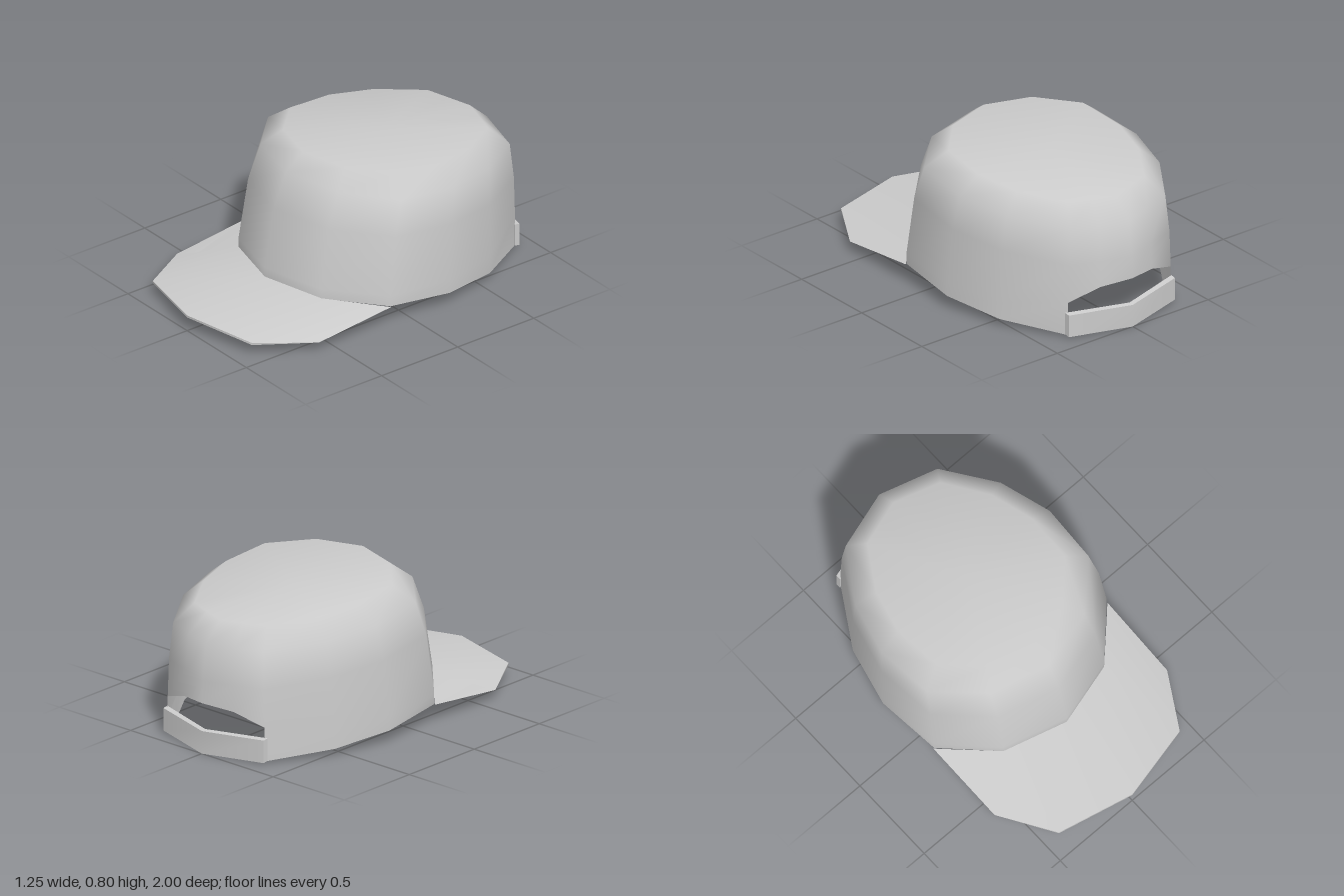
import * as THREE from 'three';
import { mergeVertices, toCreasedNormals } from 'three/addons/utils/BufferGeometryUtils.js';

const material = new THREE.MeshStandardMaterial({ color: 0xcccccc, side: THREE.DoubleSide });

// Skin a grid of points: rows of [x, y, z]; skip(r, c) leaves a hole.
function skin(name, rows, { closed = false, skip = () => false, crease = 0 } = {}) {
  const n = rows[0].length;
  const index = [];
  const same = (p, q) => p.every((v, i) => Math.abs(v - q[i]) < 1e-6);
  const tri = (...ids) => {
    const [p, q, s] = ids.map((i) => rows[Math.floor(i / n)][i % n]);
    if (!same(p, q) && !same(q, s) && !same(p, s)) index.push(...ids);
  };
  for (let r = 0; r < rows.length - 1; r++) {
    for (let c = 0; c < (closed ? n : n - 1); c++) {
      if (skip(r, c)) continue;
      const d = (c + 1) % n;
      tri(r * n + c, r * n + d, (r + 1) * n + d);
      tri(r * n + c, (r + 1) * n + d, (r + 1) * n + c);
    }
  }
  let geo = new THREE.BufferGeometry();
  geo.setAttribute('position', new THREE.Float32BufferAttribute(rows.flat(2), 3));
  geo.setIndex(index);
  geo = mergeVertices(geo);
  if (crease) geo = toCreasedNormals(geo, crease);
  else geo.computeVertexNormals();
  const mesh = new THREE.Mesh(geo, material);
  mesh.name = name;
  return mesh;
}

// Half outline of the rim, front to back: [x, z, height of the lower wall / rear arch]
const half = [
  [0, 0.49, 0.2], [0.35, 0.39, 0.19], [0.6, 0.13, 0.17], [0.625, -0.24, 0.15],
  [0.54, -0.57, 0.14], [0.34, -0.89, 0.2], [0.17, -0.945, 0.26], [0, -1, 0.28],
];
const outline = [...half, ...half.slice(1, -1).reverse().map(([x, z, y]) => [-x, z, y])];
const rimY = (z) => 0.145 + 0.096 * (z - 0.49);
const isGap = (c) => c >= 5 && c <= 8;

// A crown ring, squeezed sideways by sx and stretched between its front and back z
function ring(sx, front, back, yFront) {
  return outline.map(([x, z]) => {
    const zz = back + ((z + 1) / 1.49) * (front - back);
    return [x * sx, yFront - 0.091 * (front - zz), zz];
  });
}

function makeCrown() {
  const rows = [
    outline.map(([x, z]) => [x, rimY(z), z]),
    outline.map(([x, z, y]) => [x, y, z]),
    ring(0.975, 0.43, -0.995, 0.53),
    ring(0.936, 0.35, -0.97, 0.72),
    ring(0.745, 0.24, -0.86, 0.803),
    outline.map(() => [0, 0.756, -0.31]),
  ];
  return skin('crown', rows, { closed: true, skip: (r, c) => r === 0 && isGap(c) });
}

// Inner band folded over the lower edge
function makeSweatband() {
  const inset = ([x, z], dy) => [x * 0.965, rimY(z) + dy, -0.255 + (z + 0.255) * 0.97];
  const rows = [
    outline.map((p) => inset(p, 0.13)),
    outline.map((p) => inset(p, 0)),
    outline.map(([x, z]) => [x, rimY(z), z]),
  ];
  return skin('sweatband', rows, { closed: true, skip: (r, c) => isGap(c), crease: 0.9 });
}

// Curved visor, its thickness tapering to nothing at the sides
function makeBrim() {
  const mirror = (pts) => [...pts.map(([x, y, z]) => [-x, y, z]), ...pts.slice(0, -1).reverse()];
  const inner = mirror([[0.605, 0.108, 0.13], [0.35, 0.137, 0.39], [0, 0.147, 0.49]]);
  const outer = mirror([[0.6, 0.056, 0.6], [0.42, 0.076, 0.9], [0, 0.09, 1]]);
  const drop = (pts) => pts.map(([x, y, z], i) => [x, y - (i % 4 ? 0.012 : 0), z]);
  return skin('brim', [drop(inner), drop(outer), outer, inner], { crease: 0.9 });
}

// Adjustable strap closing the rear opening
function makeStrap() {
  const section = (x, zOut, zIn, y) => [
    [x, y, zOut], [x, y + 0.125, zOut], [x, y + 0.13, zIn], [x, y + 0.005, zIn], [x, y, zOut],
  ];
  const end = (x) => section(x, -0.91, -0.88, 0.012);
  const cap = (x) => end(x).map(() => [x, 0.077, -0.895]);
  const columns = [cap(0.352), end(0.352), section(0, -1, -0.975, 0), end(-0.352), cap(-0.352)];
  const rows = columns[0].map((_, r) => columns.map((col) => col[r]));
  return skin('strap', rows, { crease: 0.9 });
}

export function createModel() {
  const cap = new THREE.Group();
  cap.name = 'cap';
  cap.add(makeCrown(), makeSweatband(), makeBrim(), makeStrap());
  return cap;
}
